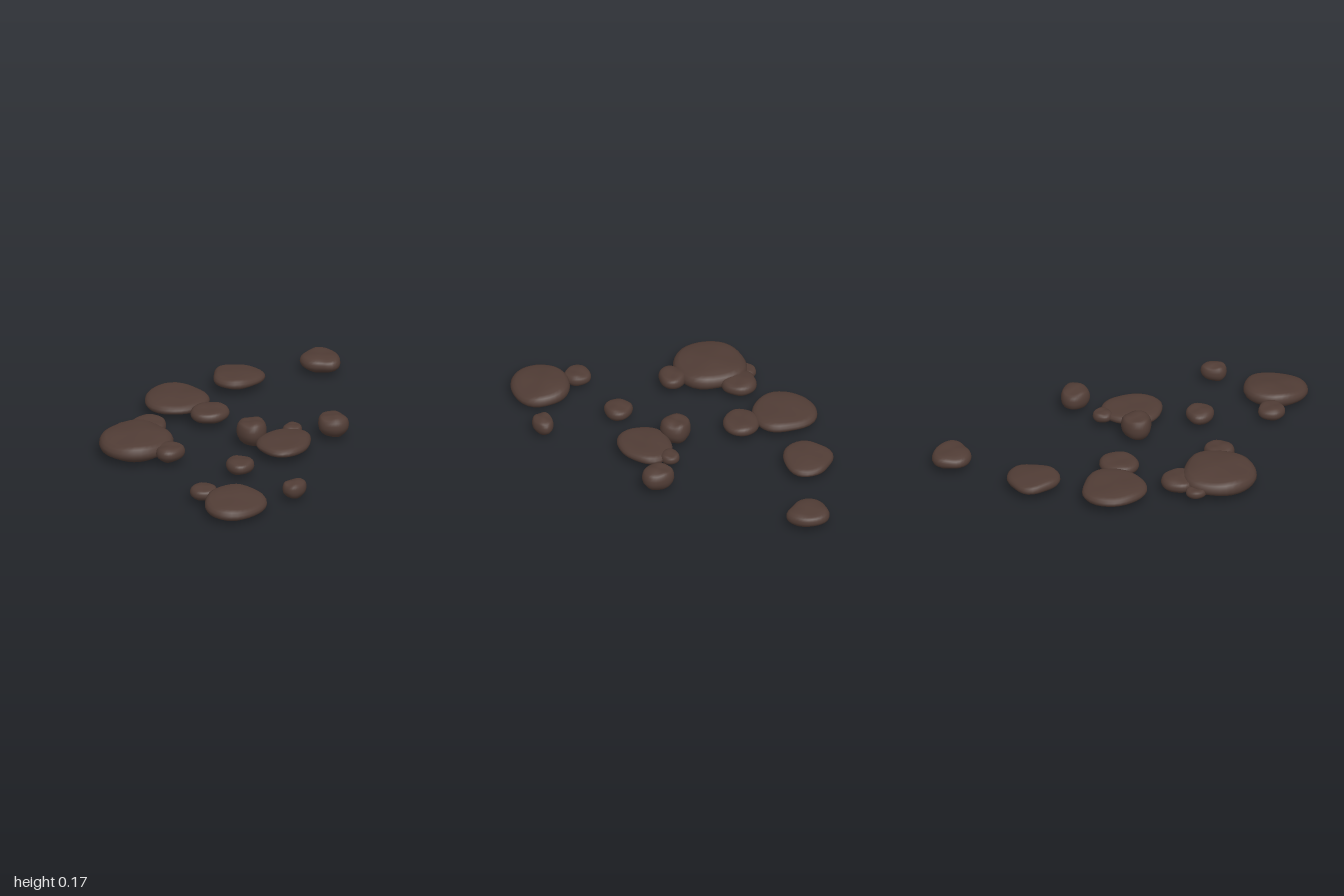
import * as THREE from 'three';

const SEG = 32;
// stone profile from underside to top: [outline scale, height fraction]
const PROFILE = [[0.3, 0.02], [0.58, 0.06], [0.8, 0.2], [0.95, 0.36], [1, 0.52], [0.99, 0.68],
  [0.93, 0.83], [0.82, 0.93], [0.6, 0.98], [0.3, 1]];

// closed smooth interpolation through evenly spaced radii
function radiusAt(radii, t) {
  const n = radii.length, f = t * n, i = Math.floor(f), u = f - i;
  const [a, b, c, d] = [-1, 0, 1, 2].map(k => radii[(i + k + n) % n]);
  return b + 0.5 * u * (c - a + u * (2 * a - 5 * b + 4 * c - d + u * (3 * (b - c) + d - a)));
}

// one flattened stone: footprint ellipse, height range, uneven outline and sloping top
function stoneGeometry(cx, cz, rx, rz, y0, y1, radii, slopeX, slopeZ, seed) {
  const pos = [], idx = [], h = y1 - y0;
  const add = (s, f, t) => {
    const a = t * Math.PI * 2, r = radiusAt(radii, t) * s;
    const lean = (1 - f) * 0.08;
    const x = r * Math.cos(a) + lean * Math.sin(seed) * (1 - s);
    const z = r * Math.sin(a) + lean * Math.cos(seed) * (1 - s);
    // shallow dents, fading on the rim
    const dent = 0.05 * Math.sin(x * 4 + seed * 3) * Math.cos(z * 3.5 + seed) * (f > 0.5 ? 1 : -1);
    const y = y0 + h * (f - 0.03 + dent * Math.abs(f - 0.5) * 2) + f * (slopeX * x + slopeZ * z);
    pos.push(cx + x * rx, Math.max(0, y), cz + z * rz);
  };
  for (const [s, f] of PROFILE) for (let j = 0; j < SEG; j++) add(s, f, j / SEG);
  add(0, 0, 0);
  add(0, 1, 0);
  const rings = PROFILE.length, bottom = rings * SEG, top = bottom + 1;
  for (let j = 0; j < SEG; j++) {
    const k = (j + 1) % SEG, last = (rings - 1) * SEG;
    idx.push(bottom, j, k, top, last + k, last + j);
    for (let i = 0; i < rings - 1; i++) {
      const a = i * SEG + j, b = i * SEG + k;
      idx.push(a, a + SEG, b, b, a + SEG, b + SEG);
    }
  }
  const g = new THREE.BufferGeometry();
  g.setAttribute('position', new THREE.Float32BufferAttribute(pos, 3));
  g.setIndex(idx);
  g.computeVertexNormals();
  return g;
}

export function createModel() {
  const model = new THREE.Group();
  model.name = 'steppingStones';
  const brown = new THREE.MeshStandardMaterial({ color: 0x503c35 });
  brown.name = 'darkBrownStone';

  let count = 0;
  function stone(name, [cx, cz, rx, rz], [y0, y1], radii, slopeX = 0, slopeZ = 0) {
    const seed = ++count * 1.7;
    // small pebbles get a gently uneven outline
    radii ??= Array.from({ length: 8 }, (_, i) => 1 + 0.05 * Math.sin(i * 2.4 + seed));
    const mesh = new THREE.Mesh(stoneGeometry(cx, cz, rx, rz, y0, y1, radii, slopeX, slopeZ, seed), brown);
    mesh.name = name;
    model.add(mesh);
  }

  // large stones; radii run from +x towards +z in 45 degree steps
  stone('backStone', [-0.425, -0.885, 0.125, 0.115], [0.02, 0.115], [1, 0.8, 0.96, 1.03, 0.97, 1.12, 0.97, 0.92]);
  stone('rightBackStone', [-0.605, -0.385, 0.145, 0.156], [0.03, 0.11], [1, 1.06, 1.02, 0.87, 1, 0.86, 0.96, 1.1], 0, 0.01);
  stone('rightMiddleStone', [-0.605, 0.095, 0.19, 0.188], [0.03, 0.115], [0.95, 0.94, 1.02, 0.95, 1.01, 1.08, 0.94, 1.03]);
  stone('rightFrontStone', [-0.35, 0.66, 0.211, 0.216], [0.005, 0.14], [1, 1, 1.01, 0.98, 0.98, 1.07, 0.95, 1.03], 0, -0.008);
  stone('leftMiddleStone', [0.245, 0.035, 0.153, 0.174], [0.03, 0.105], [0.98, 1.12, 1, 1.03, 0.97, 1.03, 1, 0.88]);
  stone('leftFrontStone', [0.627, 0.805, 0.165, 0.186], [0, 0.11], [1.02, 1.05, 1.01, 0.96, 1, 1.03, 0.99, 1.08], -0.022, -0.006);

  // smaller stones touching or between the large ones
  stone('rightMiddleSideStone', [-0.35, 0.075, 0.11, 0.116], [0.03, 0.11], [1, 0.96, 1, 0.95, 0.9, 0.95, 1, 1.04]);
  stone('rightFrontBackPebble', [-0.46, 0.445, 0.102, 0.1], [0.025, 0.115]);
  stone('rightFrontOuterPebble', [-0.54, 0.56, 0.055, 0.06], [0.03, 0.09]);
  stone('rightFrontInnerPebble', [-0.11, 0.615, 0.08, 0.088], [0.03, 0.12]);
  stone('centreTallPebble', [0.04, 0.105, 0.088, 0.087], [0.025, 0.167]);
  stone('leftMiddleBackPebble', [0.147, -0.115, 0.054, 0.057], [0.04, 0.105]);
  stone('leftBackStone', [0.285, -0.303, 0.094, 0.083], [0.03, 0.155]);
  stone('leftCentrePebble', [0.28, 0.43, 0.083, 0.081], [0.02, 0.105]);
  stone('leftOuterPebble', [0.737, 0.427, 0.06, 0.076], [0.02, 0.12]);
  stone('leftFrontPebble', [0.395, 0.827, 0.078, 0.078], [0.02, 0.1]);
  return model;
}
